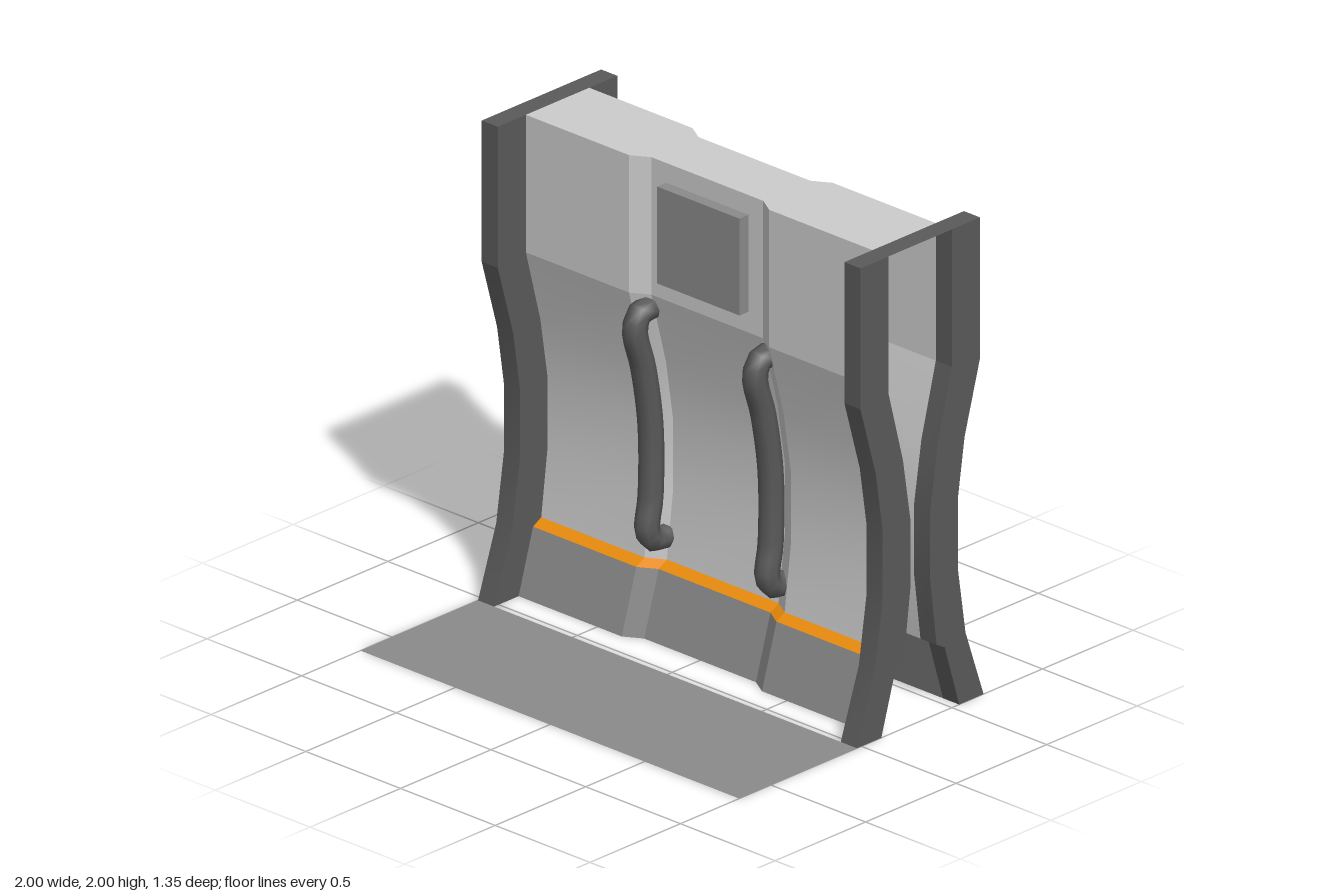
import * as THREE from 'three';
import { toCreasedNormals } from 'three/addons/utils/BufferGeometryUtils.js';

const mat = (name, color) => {
  const m = new THREE.MeshStandardMaterial({ color, side: THREE.DoubleSide });
  m.name = name;
  return m;
};

const HEIGHT = 2, INNER = 0.915, RECESS = 0.045, MID_Z = -0.325;

// Profiles are [y, z], with z measured outward from the barrier's middle plane
const WALL = [[2, 0.175], [1.425, 0.175], [1.12, 0.095], [0.865, 0.055], [0.57, 0.055], [0.29, 0.09]];
const LEDGE = [[0.29, 0.09], [0.265, 0.135]];
const SKIRT = [[0.265, 0.135], [0, 0.215]];
const RAIL_FRONT = [[2, 0.33], [1.41, 0.33], [1.11, 0.245], [0.865, 0.208], [0.57, 0.208], [0.29, 0.25], [0, 0.35]];
const HANDLE = [[0.385, 0.01], [0.383, 0.09], [0.43, 0.13], [0.57, 0.112], [0.865, 0.112],
  [1.12, 0.152], [1.29, 0.198], [1.352, 0.175], [1.365, 0.09]];

// Columns across the width: the middle band sits back behind slanted steps
const COLUMNS = [[-INNER, 0], [-0.37, 0], [-0.295, RECESS], [0.295, RECESS], [0.37, 0], [INNER, 0]];

function mesh(name, geometry, material) {
  const m = new THREE.Mesh(geometry, material);
  m.name = name;
  return m;
}

// Sweeps a vertical profile across the recessed columns
function sheet(profile) {
  const g = new THREE.PlaneGeometry(1, 1, COLUMNS.length - 1, profile.length - 1);
  const p = g.attributes.position;
  profile.forEach(([y, z], r) => COLUMNS.forEach(([x, inset], c) => {
    p.setXYZ(r * COLUMNS.length + c, x, y, z - inset);
  }));
  return toCreasedNormals(g, 0.22);
}

function railGeometry() {
  const outline = [...RAIL_FRONT, ...[...WALL, ...LEDGE.slice(1), ...SKIRT.slice(1)].reverse()];
  const shape = new THREE.Shape(outline.map(([y, z]) => new THREE.Vector2(z, y)));
  const g = new THREE.ExtrudeGeometry(shape, { depth: 1 - INNER, bevelEnabled: false });
  g.rotateY(-Math.PI / 2);
  return toCreasedNormals(g, 0.22);
}

export function createModel() {
  const light = mat('lightGrey', 0xcccccc);
  const grey = mat('midGrey', 0x8a8a8a);
  const dark = mat('darkGrey', 0x5a5a5a);
  const orange = mat('orange', 0xe88a0c);

  const model = new THREE.Group();
  model.name = 'barrierWall';

  const rail = railGeometry();
  const path = new THREE.CatmullRomCurve3(HANDLE.map(([y, z]) => new THREE.Vector3(0, y, z)));
  const tube = new THREE.TubeGeometry(path, 28, 0.05, 8);

  // Front and back faces are the same, turned half round
  for (const [name, turn] of [['frontFace', 0], ['backFace', Math.PI]]) {
    const face = new THREE.Group();
    face.name = name;
    face.position.z = MID_Z;
    face.rotation.y = turn;
    face.add(
      mesh('wallPanel', sheet(WALL), light),
      mesh('orangeLedge', sheet(LEDGE), orange),
      mesh('skirt', sheet(SKIRT), grey),
    );

    const plaque = mesh('squarePlate', new THREE.BoxGeometry(0.435, 0.405, 0.06), grey);
    plaque.position.set(0, 1.715, 0.15);
    face.add(plaque);

    for (const side of [-1, 1]) {
      const handle = mesh('handle', tube, dark);
      handle.position.x = side * 0.317;
      const post = mesh('endRail', rail, dark);
      post.position.x = side > 0 ? 1 : -INNER;
      face.add(handle, post);
    }
    model.add(face);
  }

  // Top cover follows the recess on both faces
  const edge = COLUMNS.map(([x, inset]) => new THREE.Vector2(x, WALL[0][1] - inset));
  const outline = [...edge, ...edge.map((v) => new THREE.Vector2(-v.x, -v.y))];
  const top = mesh('topCover', new THREE.ShapeGeometry(new THREE.Shape(outline)).rotateX(-Math.PI / 2), light);
  top.position.set(0, HEIGHT, MID_Z);
  model.add(top);

  // Thin caps joining the end rails
  for (const side of [-1, 1]) {
    const cap = mesh('endCap', new THREE.PlaneGeometry(1 - INNER, 0.66).rotateX(-Math.PI / 2), dark);
    cap.position.set(side * (1 + INNER) / 2, HEIGHT, MID_Z);
    model.add(cap);
  }

  // Ground plate in front
  const plate = mesh('groundPlate', new THREE.PlaneGeometry(2, 0.65).rotateX(-Math.PI / 2), grey);
  plate.position.z = 0.35;
  model.add(plate);

  return model;
}
